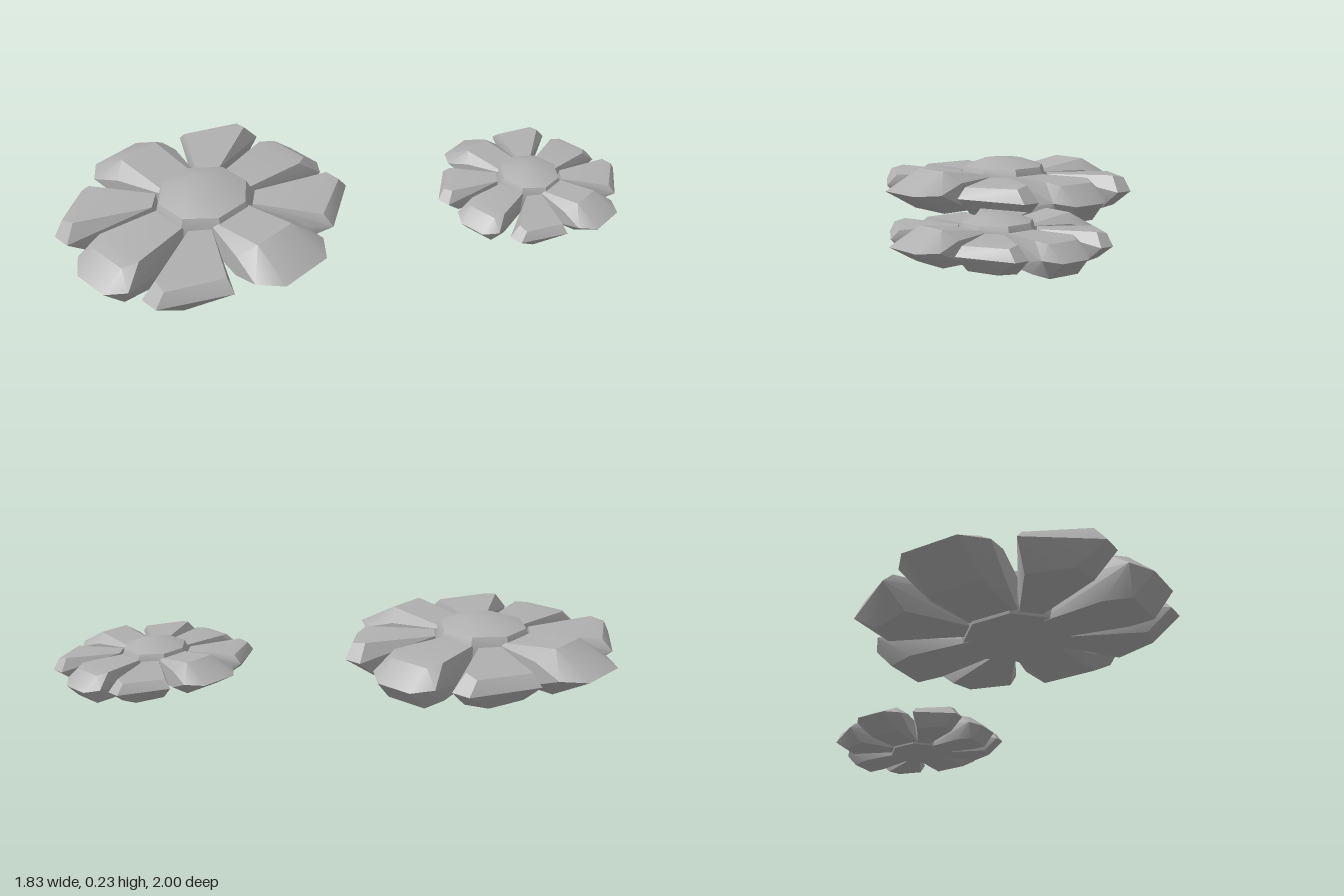
import * as THREE from 'three';
import { ConvexGeometry } from 'three/addons/geometries/ConvexGeometry.js';
import { toCreasedNormals } from 'three/addons/utils/BufferGeometryUtils.js';

const CREASE = 0.5;
const stone = new THREE.MeshStandardMaterial({ color: 0xb0b0b0 });
stone.name = 'stone grey';

// Corner points [x, y, z] of each petal kind, in the +x +z quadrant of a flower.
const sidePetal = [
  [0.1, 0.17, 0.08], [0.17, 0.1, 0.1], [0.1, 0.03, 0.08], // root
  [0.41, 0.213, 0.09], [0.36, 0.165, 0.155], // raised top
  [0.49, 0.125, 0.185], [0.578, 0.12, 0.11], // rim
  [0.42, 0.032, 0.11], [0.34, 0.06, 0.15], // underside
];
const endPetal = [
  [0.07, 0.17, 0.12], [0.08, 0.09, 0.19], [0.07, 0.02, 0.12],
  [0.12, 0.178, 0.43], [0.09, 0.165, 0.49],
  [0.155, 0.1, 0.52], [0.08, 0.085, 0.58],
  [0.11, 0.01, 0.4], [0.09, 0.002, 0.5],
];
const diagonalPetal = [
  [0.17, 0.17, 0.11], [0.11, 0.17, 0.18], [0.16, 0.03, 0.1], [0.1, 0.03, 0.16],
  [0.18, 0.1, 0.11], [0.125, 0.1, 0.2],
  [0.42, 0.165, 0.26], [0.25, 0.18, 0.46], [0.31, 0.168, 0.47],
  [0.467, 0.12, 0.268], [0.31, 0.11, 0.515], [0.23, 0.11, 0.515],
  [0.37, 0.035, 0.24], [0.22, 0.03, 0.42], [0.32, 0.035, 0.4],
];

// Faceted petal from its corners, mirrored as asked
function petal(name, corners, mirrors) {
  const points = mirrors.flatMap(([sx, sz]) =>
    corners.map(([x, y, z]) => new THREE.Vector3(x * sx, y, z * sz)));
  const mesh = new THREE.Mesh(toCreasedNormals(new ConvexGeometry(points), CREASE), stone);
  mesh.name = name;
  return mesh;
}

function flower(name) {
  const group = new THREE.Group();
  group.name = name;

  // Eight-sided domed centre
  const profile = [[0, 0.015], [0.2, 0.02], [0.215, 0.06], [0.2, 0.17],
    [0.185, 0.203], [0.09, 0.235], [0, 0.237]].map(([r, y]) => new THREE.Vector2(r, y));
  const dome = new THREE.LatheGeometry(profile, 8, Math.PI / 8);
  const centre = new THREE.Mesh(toCreasedNormals(dome, CREASE), stone);
  centre.name = 'flowerCentre';
  group.add(centre);

  // Two side petals, two end petals and four diagonal petals
  for (const s of [1, -1]) {
    group.add(petal('sidePetal', sidePetal, [[s, 1], [s, -1]]));
    group.add(petal('endPetal', endPetal, [[1, s], [-1, s]]));
    for (const t of [1, -1]) group.add(petal('diagonalPetal', diagonalPetal, [[s, t]]));
  }
  return group;
}

export function createModel() {
  const model = new THREE.Group();
  model.name = 'flowerPair';

  const large = flower('largeFlower');
  large.position.set(-0.34, 0, 0.42);

  const small = flower('smallFlower');
  small.scale.setScalar(0.665);
  small.position.set(0.53, 0.045, -0.615);

  model.add(large, small);
  return model;
}
